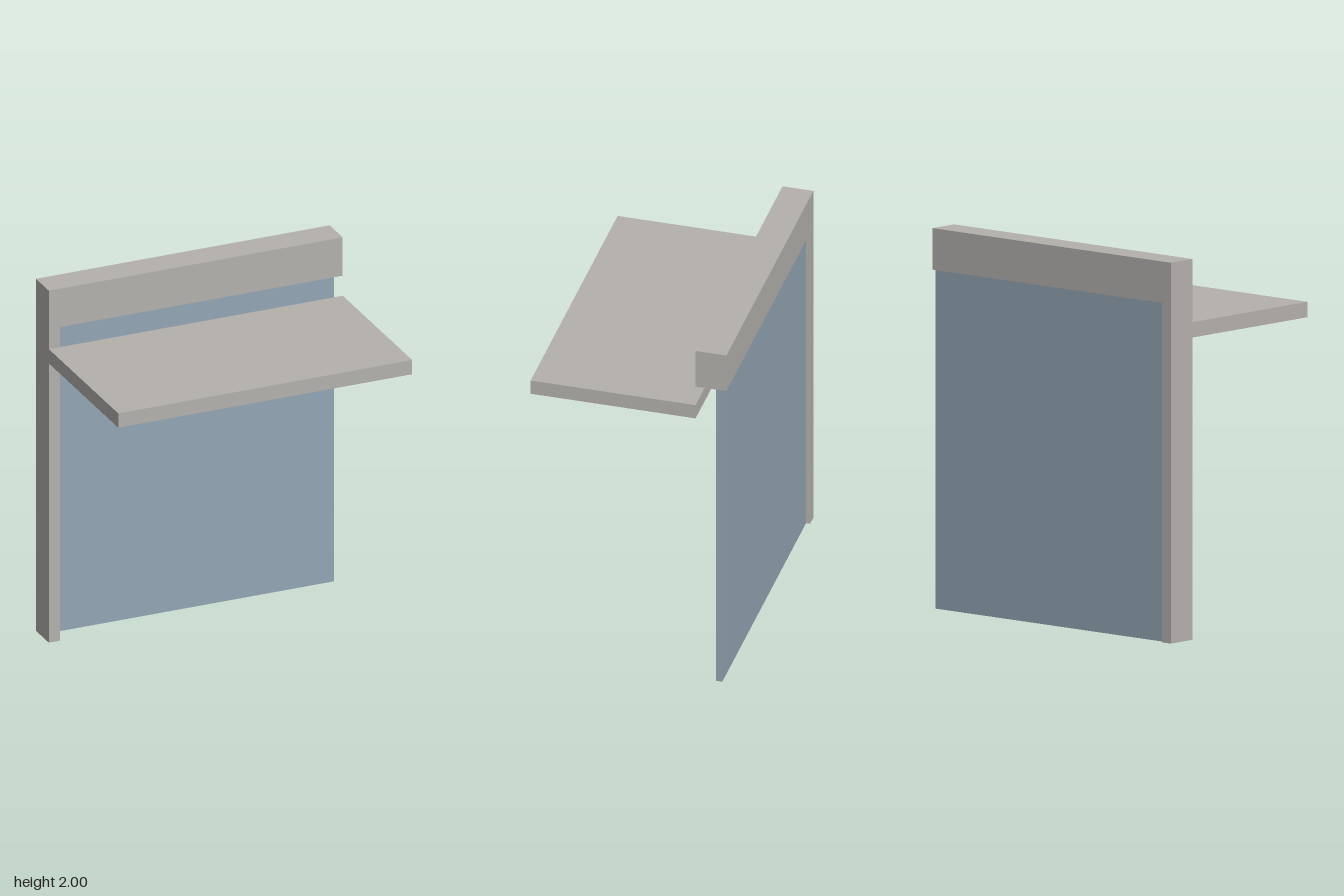
import * as THREE from 'three';

const stone = new THREE.MeshStandardMaterial({ name: 'warm grey', color: 0xb4b1ad });
const glass = new THREE.MeshStandardMaterial({ name: 'blue grey', color: 0x93a5b4 });

// Box given by its limits along each axis
function slab(name, material, [x0, x1], [y0, y1], [z0, z1]) {
  const mesh = new THREE.Mesh(new THREE.BoxGeometry(x1 - x0, y1 - y0, z1 - z0), material);
  mesh.position.set((x0 + x1) / 2, (y0 + y1) / 2, (z0 + z1) / 2);
  mesh.name = name;
  return mesh;
}

export function createModel() {
  const group = new THREE.Group();
  group.name = 'canopyWall';

  const halfWidth = 0.833;
  const postInner = -0.771;
  const beamBottom = 1.782;
  const frameDepth = [-0.527, -0.361];

  group.add(
    // Frame: a beam across the top carried by a single post
    slab('topBeam', stone, [-halfWidth, halfWidth], [beamBottom, 2], frameDepth),
    slab('sidePost', stone, [-halfWidth, postInner], [0, beamBottom], frameDepth),
    // Panel set back inside the frame
    slab('panel', glass, [postInner, halfWidth], [0, beamBottom], [-0.505, -0.471]),
    // Canopy shelf reaching forward from the frame
    slab('canopy', stone, [-halfWidth, halfWidth], [1.587, 1.668], [-0.361, 0.527])
  );
  return group;
}
